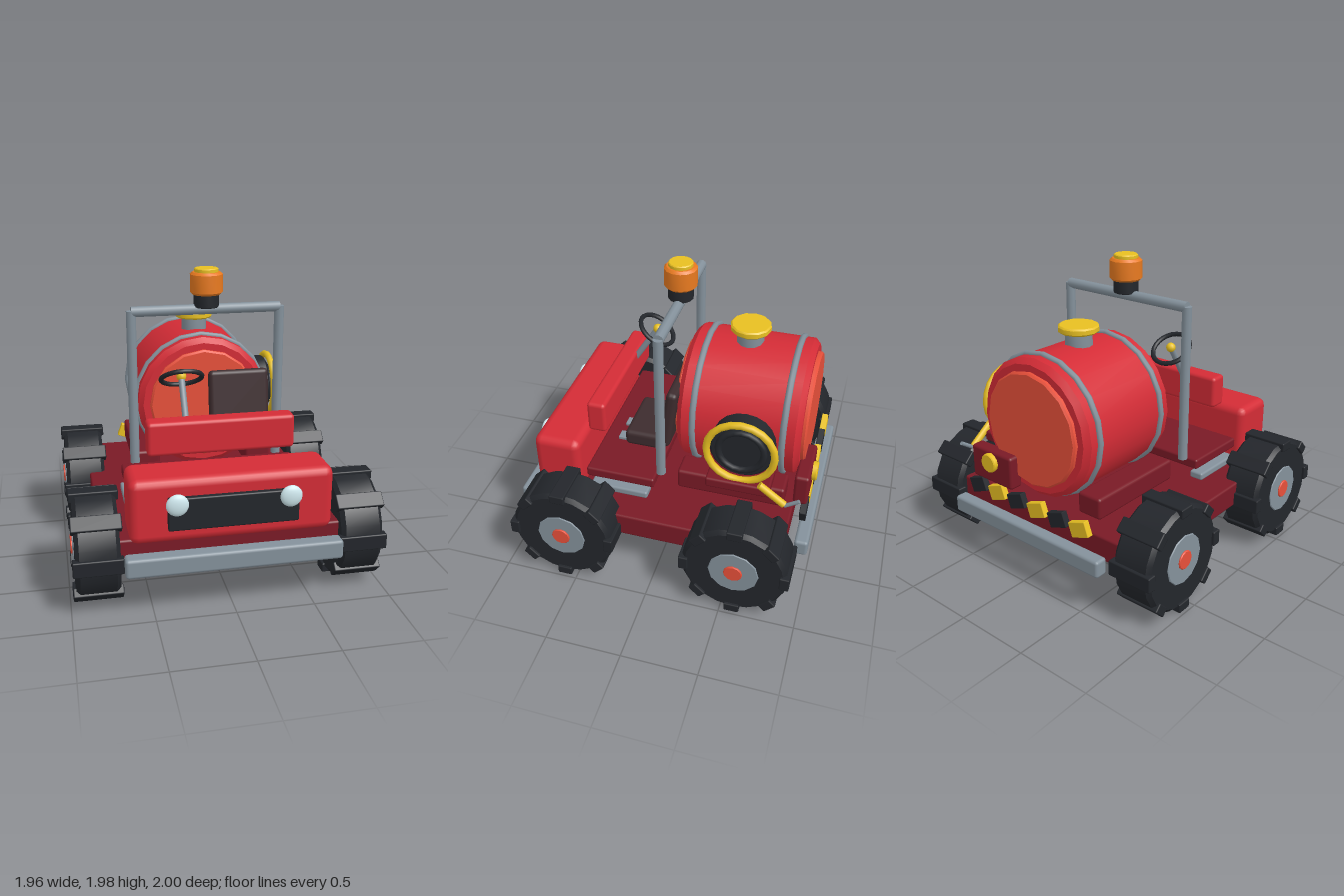
import * as THREE from 'three';
import { toCreasedNormals } from 'three/addons/utils/BufferGeometryUtils.js';
import { RoundedBoxGeometry } from 'three/addons/geometries/RoundedBoxGeometry.js';

const mat = (color) => new THREE.MeshStandardMaterial({ color });

export function createModel() {
  const model = new THREE.Group();
  model.name = 'fireBuggy';
  const red = mat(0xd42c36), darkRed = mat(0x7a1a26), coral = mat(0xe8503a), grey = mat(0x84919b);
  const black = mat(0x23262b), yellow = mat(0xe8c022), orange = mat(0xe87a20), brown = mat(0x3d2c2e);
  const glass = mat(0xcfe8ee);

  const add = (name, geometry, material, x = 0, y = 0, z = 0, parent = model) => {
    const mesh = new THREE.Mesh(geometry, material);
    mesh.name = name;
    mesh.position.set(x, y, z);
    parent.add(mesh);
    return mesh;
  };

  // Rounded box given by its limits on each axis
  const box = (name, material, [x0, x1], [y0, y1], [z0, z1], r = 0.015) =>
    add(name, new RoundedBoxGeometry(x1 - x0, y1 - y0, z1 - z0, 2, r), material,
      (x0 + x1) / 2, (y0 + y1) / 2, (z0 + z1) / 2);

  // Chamfered disc or drum from a to b along the chosen axis
  const drum = (axis, radius, a, b, chamfer = 0, sides = 16) => {
    const c = Math.max(chamfer, 0.001);
    const profile = [[0, a], [radius - c, a], [radius, a + c], [radius, b - c], [radius - c, b], [0, b]];
    const g = new THREE.LatheGeometry(profile.map(([r, h]) => new THREE.Vector2(r, h)), sides);
    if (axis === 'x') g.rotateZ(-Math.PI / 2);
    if (axis === 'z') g.rotateX(Math.PI / 2);
    return toCreasedNormals(g, 0.6);
  };

  // Straight round bar between two points
  const bar = (name, material, from, to, radius, sides = 10) => {
    const a = new THREE.Vector3(...from), b = new THREE.Vector3(...to);
    const dir = b.clone().sub(a);
    const mesh = add(name, new THREE.CylinderGeometry(radius, radius, dir.length(), sides), material);
    mesh.position.copy(a).add(b).multiplyScalar(0.5);
    mesh.quaternion.setFromUnitVectors(new THREE.Vector3(0, 1, 0), dir.normalize());
    return mesh;
  };

  // Chassis, floor and bumpers
  box('chassis', darkRed, [-0.8, 0.8], [0.32, 0.485], [-0.855, 0.84]);
  box('floor', darkRed, [-0.6, 0.6], [0.595, 0.665], [0.055, 0.53]);
  box('frontBumper', grey, [-0.675, 0.675], [0.305, 0.43], [0.9, 1], 0.02);
  box('rearBumper', grey, [-0.64, 0.64], [0.295, 0.41], [-1, -0.91], 0.02);

  // Hood, grille, headlights and dashboard
  box('hood', red, [-0.635, 0.635], [0.46, 0.875], [0.56, 0.885], 0.055);
  box('grille', black, [-0.405, 0.405], [0.555, 0.765], [0.86, 0.918], 0.01);
  box('dashboard', red, [-0.475, 0.475], [0.89, 1.112], [0.42, 0.548], 0.025);
  for (const side of [-1, 1]) {
    add('headlight', new THREE.SphereGeometry(0.07, 16, 10), glass, side * 0.35, 0.725, 0.918).scale.z = 0.42;
    box('sideStep', grey, [side * 0.565 - 0.05, side * 0.565 + 0.05], [0.498, 0.55], [0.1, 0.5]);
  }
  for (const x of [0.08, 0.235]) box('pedal', grey, [x - 0.038, x + 0.038], [0.678, 0.702], [0.315, 0.415], 0.006);

  // Wheels: tyre, lugs, hub and cap
  for (const side of [-1, 1]) for (const z of [0.585, -0.58]) {
    const wheel = new THREE.Group();
    wheel.name = 'wheel';
    wheel.position.set(side * 0.828, 0.366, z);
    model.add(wheel);
    add('tyre', drum('x', 0.347, -0.136, 0.136, 0.025, 20), black, 0, 0, 0, wheel);
    add('hub', drum('x', 0.165, -0.143, 0.143, 0.005, 12), grey, 0, 0, 0, wheel);
    add('hubCap', drum('x', 0.062, -0.153, 0.153, 0.005, 12), coral, 0, 0, 0, wheel);
    for (let i = 0; i < 8; i++) {
      const a = i * Math.PI / 4;
      const lug = add('lug', new RoundedBoxGeometry(0.308, 0.062, 0.1, 1, 0.008), black,
        0, Math.cos(a) * 0.328, Math.sin(a) * 0.328, wheel);
      lug.rotation.x = a;
    }
  }

  // Water tank with end caps, straps, filler and saddle rails
  const tankY = 1.035;
  add('tank', drum('z', 0.457, -0.86, -0.055, 0.035, 20), red, 0, tankY);
  add('tankEndCap', drum('z', 0.378, -0.89, -0.028, 0.012, 16), coral, 0, tankY);
  for (const z of [-0.165, -0.75]) {
    const strap = add('tankStrap', new THREE.TorusGeometry(0.458, 0.021, 8, 20), grey, 0, tankY, z);
    strap.rotation.z = Math.PI / 2;
  }
  add('fillerNeck', drum('y', 0.09, 1.45, 1.575, 0, 12), grey, 0, 0, -0.43);
  add('fillerCap', drum('y', 0.133, 1.565, 1.612, 0.01, 12), yellow, 0, 0, -0.43);
  for (const x of [-0.4, 0.4]) box('tankRail', darkRed, [x - 0.09, x + 0.09], [0.545, 0.69], [-0.8, -0.075], 0.02);

  // Hose reel with nozzle on the left flank
  const reelY = 1.015, reelZ = -0.512;
  box('reelBracket', darkRed, [0.4, 0.625], [0.73, 0.8], [-0.72, -0.3]);
  add('reelDrum', drum('x', 0.208, 0.42, 0.552, 0.015, 20), black, 0, reelY, reelZ);
  add('hoseCoil', new THREE.TorusGeometry(0.148, 0.022, 8, 20), black, 0.555, reelY, reelZ).rotation.y = Math.PI / 2;
  add('reelRim', new THREE.TorusGeometry(0.22, 0.024, 8, 20), yellow, 0.575, reelY, reelZ).rotation.y = Math.PI / 2;
  bar('nozzleGrip', yellow, [0.635, 0.84, -0.655], [0.635, 0.715, -0.82], 0.024);
  bar('nozzleTip', grey, [0.64, 0.71, -0.825], [0.64, 0.77, -0.915], 0.013);

  // Rear pump box and hazard blocks
  box('pumpBox', darkRed, [0.125, 0.49], [0.6, 0.825], [-0.95, -0.855], 0.02);
  add('pumpKnob', drum('z', 0.064, -0.982, -0.93, 0.006, 12), yellow, 0.305, 0.75);
  for (let i = 0; i < 6; i++) {
    const block = add('hazardBlock', new RoundedBoxGeometry(0.14, 0.1, 0.044, 1, 0.005),
      i % 2 ? black : yellow, -0.45 + i * 0.18, 0.54, -0.933);
    block.rotation.z = -0.35;
  }

  // Seat
  box('seatCushion', brown, [0.025, 0.445], [0.8, 0.91], [0.02, 0.3], 0.03);
  const back = box('seatBack', brown, [0.025, 0.445], [0.83, 1.27], [-0.035, 0.04], 0.03);
  back.rotation.x = -0.14;

  // Steering wheel and column
  bar('steeringColumn', grey, [-0.21, 1.05, 0.44], [-0.21, 1.31, 0.275], 0.021);
  const rim = add('steeringWheel', new THREE.TorusGeometry(0.133, 0.016, 8, 24), black, -0.21, 1.315, 0.27);
  rim.rotation.x = 0.97;
  add('steeringHub', new THREE.SphereGeometry(0.033, 12, 8), yellow, -0.21, 1.325, 0.265);

  // Roll bar and beacon
  for (const x of [-0.5, 0.5]) bar('rollBarPost', grey, [x, 0.66, 0.033], [x, 1.715, 0.033], 0.033);
  bar('rollBarTop', grey, [-0.5, 1.71, 0.033], [0.5, 1.71, 0.033], 0.035);
  add('beaconBase', drum('y', 0.083, 1.725, 1.82, 0.005, 14), black, 0, 0, 0.035);
  add('beaconLamp', drum('y', 0.108, 1.81, 1.957, 0.015, 14), orange, 0, 0, 0.035);
  add('beaconCap', drum('y', 0.08, 1.95, 1.982, 0.006, 14), yellow, 0, 0, 0.035);

  return model;
}
